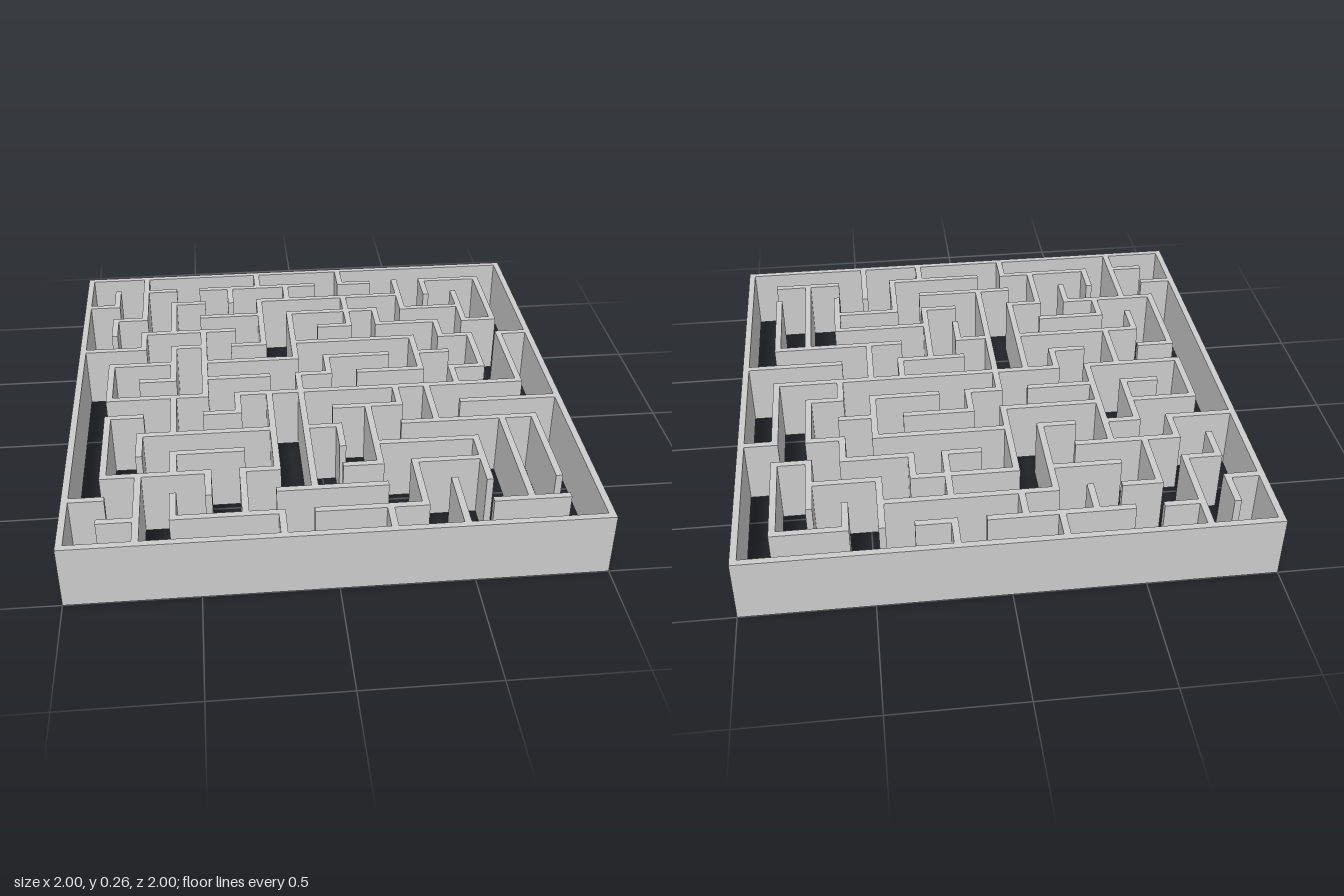
import * as THREE from 'three';

const CELLS = 15, THICK = 0.026, HEIGHT = 0.256;
const PITCH = (2 - THICK) / CELLS;
const at = (i) => -1 + THICK / 2 + i * PITCH; // centre of grid line i

// Wall runs "from-to" along x, one entry per grid row, back to front
const ROWS = [
  '0-15', '2-3 4-8 9-10 12-14', '0-1 3-4 6-11', '1-2 4-6 7-10 11-13',
  '2-5 8-9 10-12 13-14', '0-2 3-4 5-6 7-11 12-13 14-15', '1-3 4-7 8-10 11-12',
  '2-3 4-6 7-8 9-11 12-13', '1-4 5-14', '1-2 4-5 8-10 12-15', '2-6 7-8 10-14',
  '3-5 9-12', '1-4 5-6 8-9 10-12', '0-1 6-9', '1-2 3-6 7-10 12-14', '0-15',
];
// Wall runs "from-to" along z, one entry per grid column, from -x to +x
const COLUMNS = [
  '0-15', '1-2 3-4 6-8 9-12', '0-3 4-5 10-11 12-15', '2-4 5-7 8-10 11-12 13-14',
  '4-8 12-13', '1-2 8-9 12-14', '0-1 2-5 8-12 14-15', '1-2 3-6 7-13',
  '6-7 10-11', '0-1 2-4 9-12 14-15', '3-4 8-9 12-14', '1-3 5-7 8-10 13-15',
  '1-2 4-5 7-8 11-13', '2-4 5-7 10-14', '1-4 5-8 10-13', '0-15',
];
const parse = (lines) => lines.map((s) => s.split(' ').map((r) => r.split('-').map(Number)));

export function createModel() {
  const model = new THREE.Group();
  model.name = 'maze';
  const material = new THREE.MeshStandardMaterial({ color: 0xcccccc, flatShading: true });
  const rows = parse(ROWS), columns = parse(COLUMNS);

  function addWall(name, x0, x1, z0, z1) {
    const wall = new THREE.Mesh(new THREE.BoxGeometry(x1 - x0, HEIGHT, z1 - z0), material);
    wall.position.set((x0 + x1) / 2, HEIGHT / 2, (z0 + z1) / 2);
    wall.name = name;
    model.add(wall);
  }
  const h = THICK / 2;

  // Walls running across, including the back and front outer walls
  rows.forEach((runs, r) => {
    const name = r === 0 ? 'backWall' : r === CELLS ? 'frontWall' : 'crossWall';
    for (const [a, b] of runs) addWall(name, at(a) - h, at(b) + h, at(r) - h, at(r) + h);
  });

  // Walls running front to back, cut where a cross wall already fills the junction
  const filled = (c, r) => rows[r].some(([a, b]) => a <= c && c <= b);
  columns.forEach((runs, c) => {
    const name = c === 0 ? 'rightWall' : c === CELLS ? 'leftWall' : 'lengthWall';
    for (const [a, b] of runs) {
      let start = a;
      for (let r = a + 1; r <= b; r++) {
        if (r < b && !filled(c, r)) continue;
        const z0 = at(start) + (filled(c, start) ? h : -h);
        const z1 = at(r) + (filled(c, r) ? -h : h);
        addWall(name, at(c) - h, at(c) + h, z0, z1);
        start = r;
      }
    }
  });
  return model;
}
